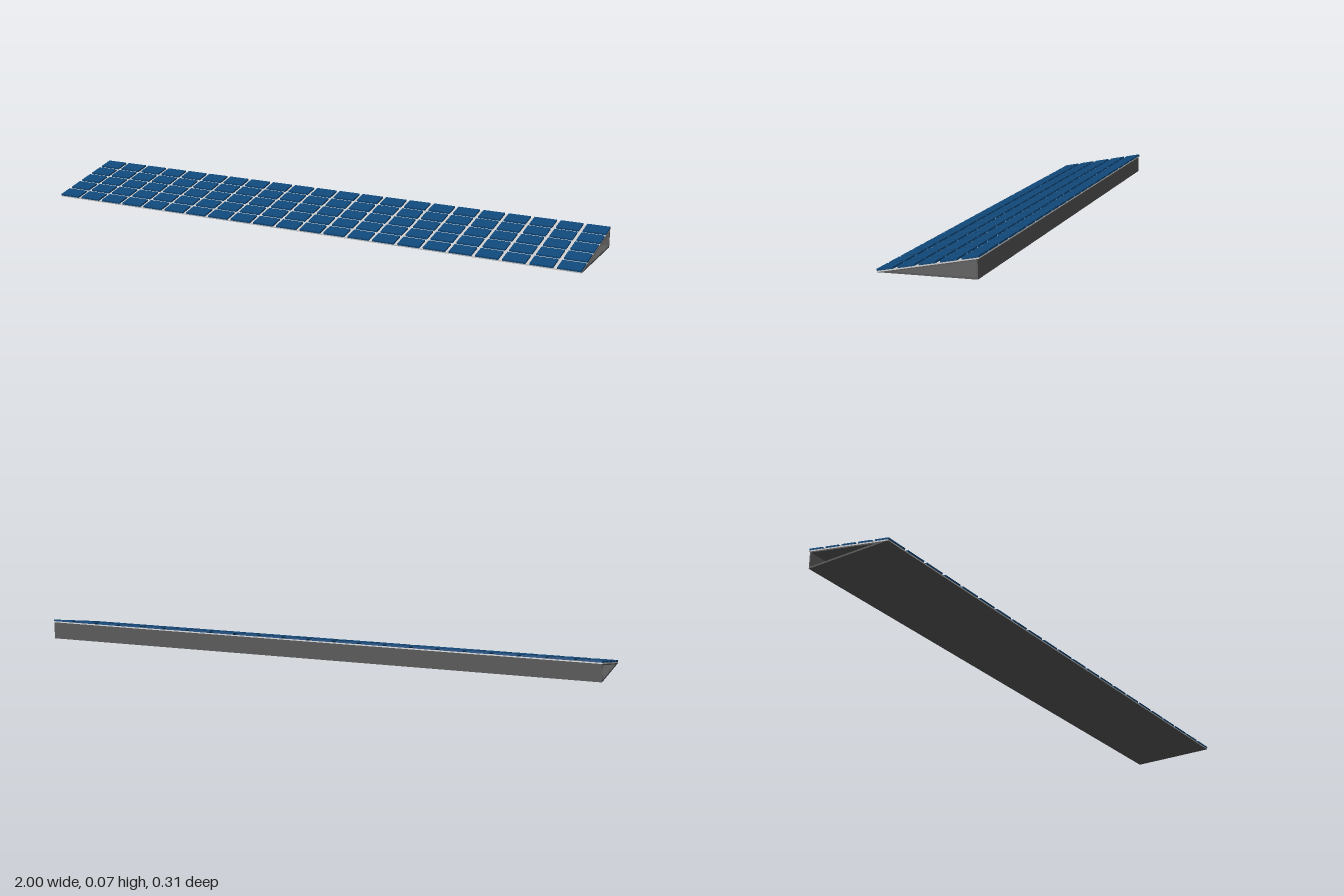
import * as THREE from 'three';

const TILT = THREE.MathUtils.degToRad(11);
const SLOPE = Math.tan(TILT);
const FRONT = 0.156; // z of the low edge of the slope

export function createModel() {
  const model = new THREE.Group();
  model.name = 'solarPanelArray';

  const frameMat = new THREE.MeshStandardMaterial({ color: 0x5a5a5a });
  const panelMat = new THREE.MeshStandardMaterial({ color: 0xcccccc });
  const cellMat = new THREE.MeshStandardMaterial({ color: 0x10487a });

  // Hollow wedge frame, open at both ends; shape x is -z of the model
  const under = (z, drop = 0) => SLOPE * (FRONT - z) - drop;
  const wedge = new THREE.Shape([
    new THREE.Vector2(-FRONT, 0),
    new THREE.Vector2(0.152, 0),
    new THREE.Vector2(0.152, under(-0.152)),
  ]);
  const wall = 0.004, floor = 0.006;
  wedge.holes.push(new THREE.Path([
    new THREE.Vector2(-(FRONT - (floor + wall) / SLOPE), floor),
    new THREE.Vector2(0.148, under(-0.148, wall)),
    new THREE.Vector2(0.148, floor),
  ]));
  const frameGeo = new THREE.ExtrudeGeometry(wedge, { depth: 2, bevelEnabled: false });
  frameGeo.translate(0, 0, -1).rotateY(Math.PI / 2);
  const frame = new THREE.Mesh(frameGeo, frameMat);
  frame.name = 'wedgeFrame';
  model.add(frame);

  // Tilted deck: local origin at the low front edge, -z runs up the slope
  const deck = new THREE.Group();
  deck.name = 'tiltedDeck';
  deck.position.set(0, 0, FRONT);
  deck.rotation.x = TILT;
  model.add(deck);

  const length = 0.318, thick = 0.004;
  const panel = new THREE.Mesh(new THREE.BoxGeometry(2, thick, length), panelMat);
  panel.name = 'backingPanel';
  panel.position.set(0, thick / 2, -length / 2);
  deck.add(panel);

  // Grid of solar cells
  const cols = 22, rows = 5;
  const w = 0.078, d = 0.0526, h = 0.006;
  const cellGeo = new THREE.BoxGeometry(w, h, d);
  for (let r = 0; r < rows; r++) {
    const row = new THREE.Group();
    row.name = `cellRow${r + 1}`;
    row.position.set(0, thick + h / 2, -d / 2 - r * (length - d) / (rows - 1));
    for (let c = 0; c < cols; c++) {
      const cell = new THREE.Mesh(cellGeo, cellMat);
      cell.name = 'solarCell';
      cell.position.x = -1 + w / 2 + c * (2 - w) / (cols - 1);
      row.add(cell);
    }
    deck.add(row);
  }
  return model;
}
